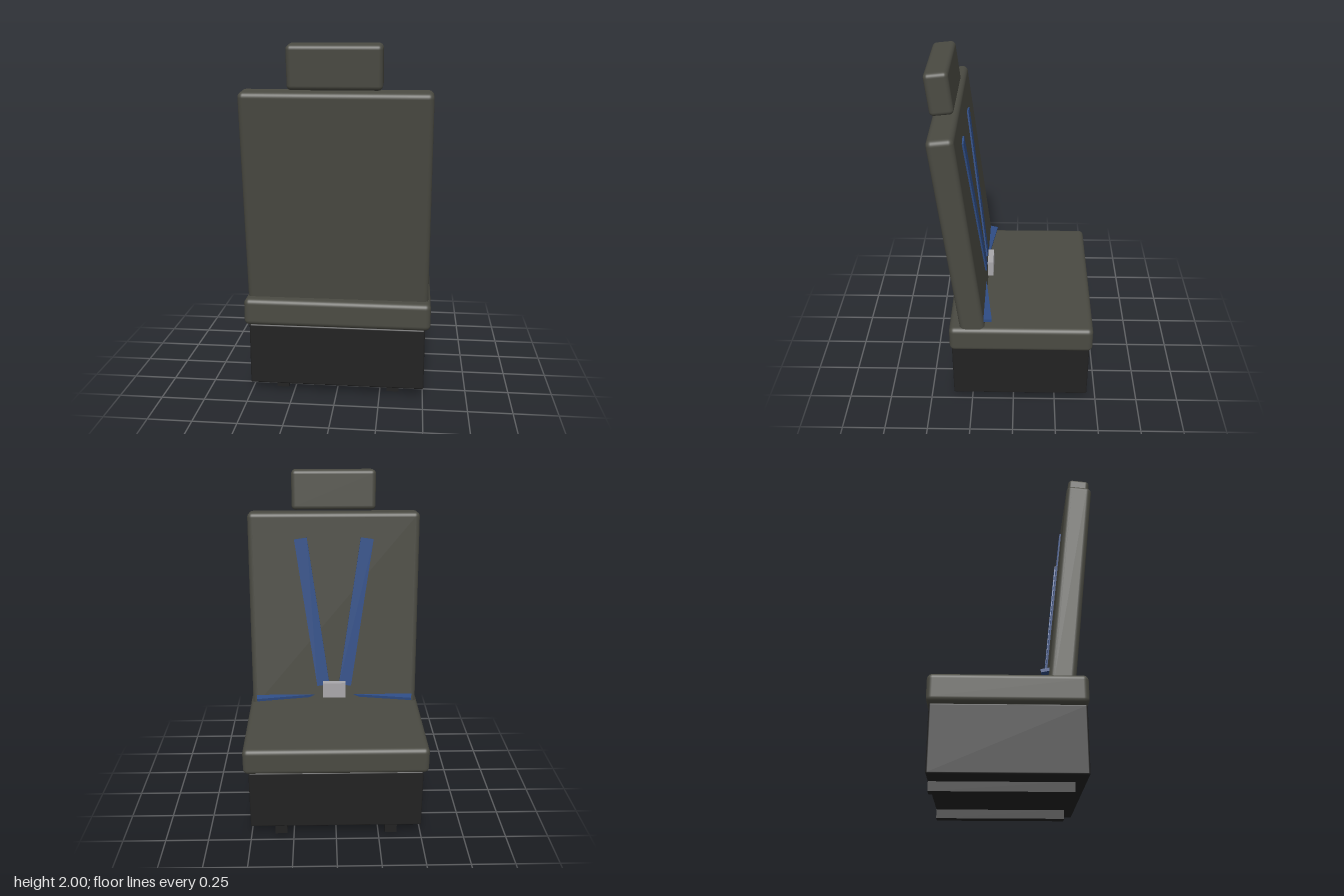
import * as THREE from 'three';
import { RoundedBoxGeometry } from 'three/addons/geometries/RoundedBoxGeometry.js';

export function createModel() {
  const group = new THREE.Group();
  const material = (name, color) => {
    const m = new THREE.MeshStandardMaterial({ color });
    m.name = name;
    return m;
  };
  const upholstery = material('upholstery', 0x4a4a42);
  const black = material('black metal', 0x222222);
  const webbing = material('blue webbing', 0x2f4d85);
  const silver = material('buckle silver', 0xa9a7ab);

  const add = (name, geometry, mat, x, y, z) => {
    const mesh = new THREE.Mesh(geometry, mat);
    mesh.name = name;
    mesh.position.set(x, y, z);
    group.add(mesh);
    return mesh;
  };
  const padded = (w, h, d, r) => new RoundedBoxGeometry(w, h, d, 4, r);
  const tilt = 0.108; // recline of the backrest, leaning toward +z

  // Base and cushions
  add('base', padded(1.01, 0.365, 0.805, 0.01), black, 0, 0.2325, -0.0425);
  add('seatCushion', padded(1.07, 0.158, 0.83, 0.03), upholstery, 0, 0.489, -0.045);
  add('backrest', padded(1.04, 1.235, 0.143, 0.03), upholstery, 0, 1.14, 0.299).rotation.x = tilt;
  add('headrest', padded(0.505, 0.235, 0.13, 0.025), upholstery, 0, 1.882, 0.387).rotation.x = tilt;

  // Harness plane lies on the front of the backrest
  const harness = new THREE.Group();
  harness.name = 'harness';
  harness.position.set(0, 1.14, 0.2265);
  harness.rotation.x = tilt;
  group.add(harness);

  for (const side of [-1, 1]) {
    // Floor rails
    add('floorRail', new THREE.BoxGeometry(0.07, 0.055, 0.74), black, side * 0.325, 0.0275, -0.072);

    // Shoulder straps converge on the buckle
    const strap = new THREE.Mesh(new THREE.BoxGeometry(0.078, 0.94, 0.018), webbing);
    strap.name = 'shoulderStrap';
    strap.position.set(side * 0.135, 0.005, 0);
    strap.rotation.z = -side * 0.142;
    harness.add(strap);

    // Lap straps emerge from the backrest near its outer edges
    const lap = add('lapStrap', new THREE.BoxGeometry(0.42, 0.018, 0.075), webbing, side * 0.285, 0.611, 0.188);
    lap.rotation.set(-0.15, side * 0.13, 0);
  }

  add('buckle', new THREE.BoxGeometry(0.142, 0.1, 0.034), silver, 0, 0.663, 0.147);
  return group;
}
